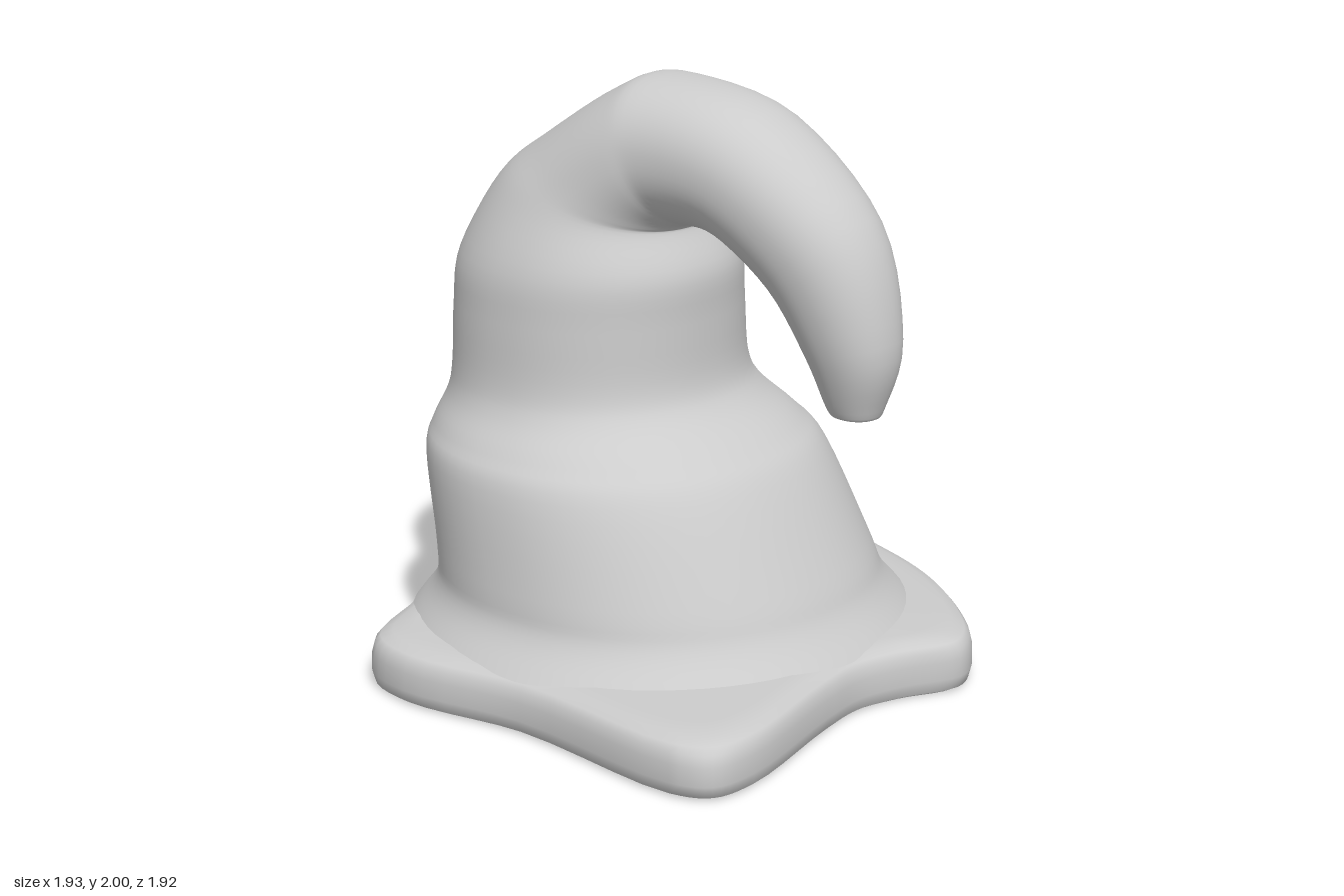
import * as THREE from 'three';

const material = new THREE.MeshStandardMaterial({ color: 0xcccccc });

// Skin closed rings of points (ordered bottom to top) with smooth normals
function loft(rings, name) {
  const n = rings[0].length, index = [];
  for (let i = 0; i < rings.length - 1; i++) {
    for (let j = 0; j < n; j++) {
      const a = i * n + j, b = i * n + (j + 1) % n;
      index.push(a, a + n, b, b, a + n, b + n);
    }
  }
  const geo = new THREE.BufferGeometry().setFromPoints(rings.flat());
  geo.setIndex(index);
  geo.computeVertexNormals();
  const mesh = new THREE.Mesh(geo, material);
  mesh.name = name;
  return mesh;
}

// Wavy brim: outline [x, z] swept through a rounded edge profile
function makeBrim() {
  const outline = [
    [0.07, -0.96], [0.27, -0.91], [0.42, -0.82], [0.62, -0.58], [0.88, -0.3], [0.965, -0.05],
    [0.88, 0.28], [0.76, 0.54], [0.59, 0.77], [0.43, 0.92], [0.31, 0.96],
    [0.12, 0.87], [-0.05, 0.82], [-0.25, 0.835], [-0.72, 0.915], [-0.88, 0.885],
    [-0.94, 0.76], [-0.9, 0.1], [-0.965, -0.35], [-0.9, -0.57], [-0.57, -0.72], [-0.18, -0.93],
  ].map(([x, z]) => new THREE.Vector3(x, 0, z));
  const pts = new THREE.CatmullRomCurve3(outline, true, 'centripetal').getPoints(110).slice(0, -1);
  const ring = (s, y) => pts.map(p => new THREE.Vector3(p.x * s, y, p.z * s));
  // [scale, height] across the edge, underside to top
  const edge = [[0.97, 0], [0.99, 0.01], [1, 0.05], [0.997, 0.11], [0.988, 0.145],
    [0.97, 0.165], [0.93, 0.178], [0.86, 0.19], [0, 0.2]];
  const group = new THREE.Group();
  group.name = 'brim';
  group.add(loft(edge.map(([s, y]) => ring(s, y)), 'brimEdge'));
  group.add(loft([ring(0, 0), ring(0.97, 0)], 'brimUnderside'));
  return group;
}

// Crown and curled tip: each section is [outer z, outer y, inner z, inner y, half width]
function makeCrown() {
  const sections = [
    [-0.86, 0.165, 0.79, 0.165, 0.84],
    [-0.785, 0.28, 0.7, 0.28, 0.745],
    [-0.785, 0.4, 0.64, 0.4, 0.72],
    [-0.845, 0.7, 0.47, 0.7, 0.67],
    [-0.835, 0.8, 0.37, 0.8, 0.61],
    [-0.795, 0.9, 0.235, 0.9, 0.53],
    [-0.785, 1, 0.18, 1, 0.495],
    [-0.78, 1.2, 0.17, 1.2, 0.48],
    [-0.755, 1.38, 0.165, 1.36, 0.46],
    [-0.6, 1.64, 0.1, 1.485, 0.38],
    [-0.42, 1.78, 0.1, 1.505, 0.34],
    [-0.14, 1.955, 0.125, 1.52, 0.3],
    [0.03, 2, 0.17, 1.526, 0.275],
    [0.43, 1.925, 0.31, 1.505, 0.25],
    [0.8, 1.63, 0.5, 1.37, 0.21],
    [0.92, 1.26, 0.625, 1.18, 0.15],
    [0.875, 1.035, 0.69, 1.03, 0.088],
    [0.845, 1.005, 0.72, 1.005, 0.06],
    [0.785, 1, 0.785, 1, 0],
  ];
  // Splines through the outer line, inner line and widths, sampled together
  const spline = f => new THREE.CatmullRomCurve3(
    sections.map(s => new THREE.Vector3(...f(s))), false, 'catmullrom', 0.5);
  const outer = spline(s => [0, s[1], s[0]]);
  const inner = spline(s => [0, s[3], s[2]]);
  const width = spline(s => [s[4], 0, 0]);
  const steps = (sections.length - 1) * 5, sides = 64, rings = [];
  const soft = v => Math.sign(v) * Math.abs(v) ** 0.93;
  for (let i = 0; i <= steps; i++) {
    const t = i / steps;
    const a = outer.getPoint(t), b = inner.getPoint(t), w = width.getPoint(t).x;
    const mid = a.clone().add(b).multiplyScalar(0.5);
    const half = b.clone().sub(a).multiplyScalar(0.5);
    // The crown leans slightly sideways towards its tip
    mid.x = -0.04 - 0.025 * t;
    rings.push(Array.from({ length: sides }, (_, j) => {
      const th = j / sides * Math.PI * 2;
      const p = mid.clone().addScaledVector(half, soft(Math.sin(th)));
      p.x += w * soft(Math.cos(th));
      return p;
    }));
  }
  return loft(rings, 'crownAndCurledTip');
}

export function createModel() {
  const hat = new THREE.Group();
  hat.name = 'pointedHat';
  hat.add(makeBrim(), makeCrown());
  return hat;
}
